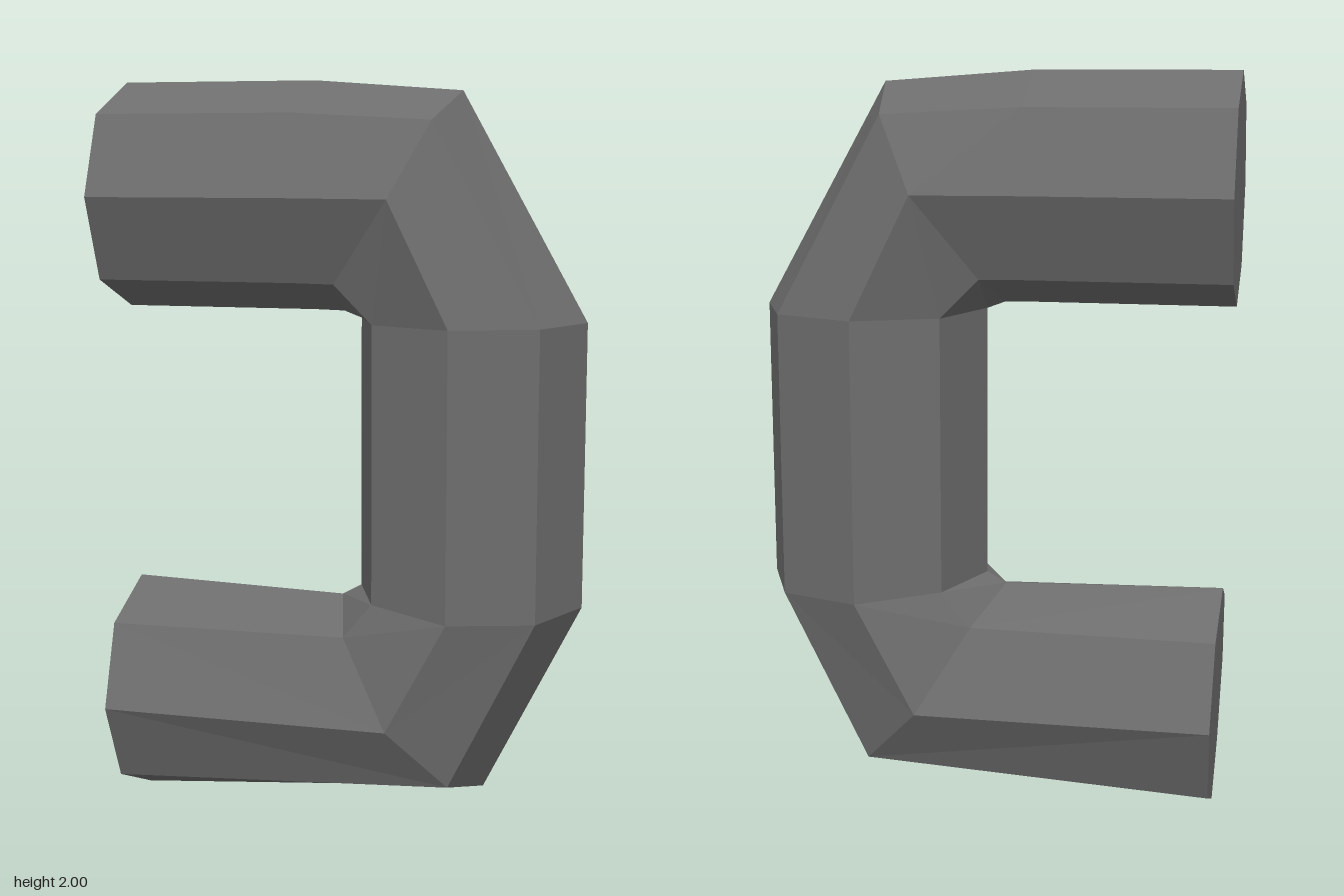
import * as THREE from 'three';

// Cross-sections along the hook: [x, y] from the inner edge to the outer edge
const SECTIONS = [
  [[-0.64, 1.39], [-0.64, 1.475], [-0.64, 1.695], [-0.64, 1.91], [-0.64, 2]],       // upper end
  [[-0.1, 1.39], [-0.1, 1.475], [-0.1, 1.695], [-0.1, 1.91], [-0.1, 2]],            // upper arm
  [[-0.02, 1.388], [0.01, 1.473], [0.172, 1.693], [0.267, 1.89], [0.302, 1.97]],    // upper bend
  [[0.028, 1.37], [0.113, 1.37], [0.332, 1.37], [0.55, 1.37], [0.64, 1.37]],        // top of upright
  [[0.028, 0.63], [0.113, 0.63], [0.332, 0.61], [0.55, 0.605], [0.64, 0.605]],      // foot of upright
  [[-0.025, 0.6], [0.035, 0.535], [0.172, 0.31], [0.322, 0.145], [0.377, 0.08]],    // lower bend
  [[-0.625, 0.617], [-0.62, 0.53], [-0.615, 0.31], [-0.61, 0.095], [-0.61, 0]],     // lower end
];

// Depth of the five points on the front half of the octagon
const DEPTH = [0, 0.218, 0.306, 0.218, 0];
const SIDES = 8;

function tubeGeometry() {
  const positions = [];
  const index = [];
  // Front half of each ring, then its mirror on the back
  for (const section of SECTIONS) {
    for (let k = 0; k < SIDES; k++) {
      const p = k <= 4 ? k : SIDES - k;
      positions.push(...section[p], k <= 4 ? DEPTH[p] : -DEPTH[p]);
    }
  }
  // Side faces, split along mirrored diagonals on the front and the back
  for (let i = 0; i < SECTIONS.length - 1; i++) {
    for (let k = 0; k < SIDES; k++) {
      const a = i * SIDES + k;
      const b = i * SIDES + (k + 1) % SIDES;
      const c = a + SIDES;
      const d = b + SIDES;
      if (k < 4) index.push(a, c, b, c, d, b);
      else index.push(a, c, d, a, d, b);
    }
  }
  // Flat end caps
  const last = (SECTIONS.length - 1) * SIDES;
  for (let k = 1; k < SIDES - 1; k++) {
    index.push(0, k, k + 1, last, last + k + 1, last + k);
  }
  const geometry = new THREE.BufferGeometry();
  geometry.setAttribute('position', new THREE.Float32BufferAttribute(positions, 3));
  geometry.setIndex(index);
  const faceted = geometry.toNonIndexed();
  faceted.computeVertexNormals();
  return faceted;
}

export function createModel() {
  const group = new THREE.Group();
  group.name = 'bentTube';
  const material = new THREE.MeshStandardMaterial({ color: 0x6d6d6d, flatShading: true });
  const tube = new THREE.Mesh(tubeGeometry(), material);
  tube.name = 'octagonalTube';
  group.add(tube);
  return group;
}
